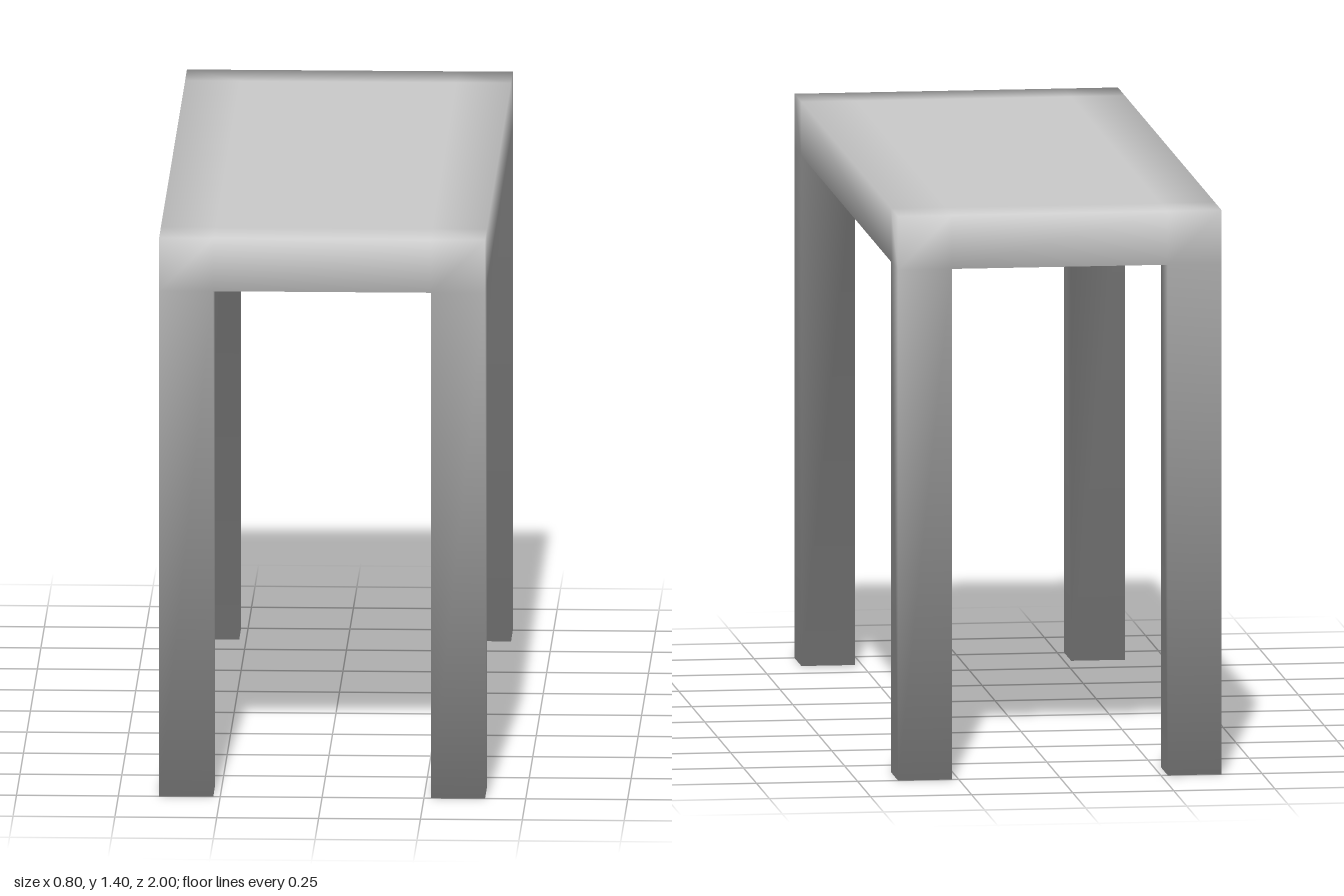
import * as THREE from 'three';

// Grid lines that divide the table into blocks along x, y and z
const T = 0.133;
const LINES = [
  [-0.4, -0.4 + T, 0.4 - T, 0.4],
  [0, 1.4 - T, 1.4],
  [-1, -1 + T, 1 - T, 1],
];

// Upper layer is the full slab, lower layer only has the four corner legs
function filled([i, j, k]) {
  if (i < 0 || i > 2 || k < 0 || k > 2) return false;
  return j === 1 || (j === 0 && i !== 1 && k !== 1);
}

// Outward quads of one block, leaving out those hidden by a neighbour
function blockFaces(cell) {
  const faces = [];
  for (let axis = 0; axis < 3; axis++) {
    for (const side of [1, -1]) {
      const next = [...cell];
      next[axis] += side;
      if (filled(next)) continue;
      const u = (axis + 1) % 3, v = (axis + 2) % 3;
      const corners = [[0, 0], [1, 0], [1, 1], [0, 1]].map(([a, b]) => {
        const p = [...cell];
        p[axis] += side > 0 ? 1 : 0;
        p[u] += a;
        p[v] += b;
        return p;
      });
      if (side < 0) corners.reverse();
      const normal = new THREE.Vector3().setComponent(axis, side);
      faces.push({ corners, normal });
    }
  }
  return faces;
}

export function createModel() {
  const group = new THREE.Group();
  group.name = 'table';
  const material = new THREE.MeshStandardMaterial({ color: 0xcccccc });

  // Collect the faces of each part
  const parts = { tableTop: [] };
  for (let i = 0; i < 3; i++) {
    for (let k = 0; k < 3; k++) {
      parts.tableTop.push(...blockFaces([i, 1, k]));
      if (filled([i, 0, k])) {
        const name = (k ? 'front' : 'back') + (i ? 'Left' : 'Right') + 'Leg';
        parts[name] = blockFaces([i, 0, k]);
      }
    }
  }

  // Smooth normals shared across all parts, so the joints blend softly
  const normals = {};
  for (const { corners, normal } of Object.values(parts).flat()) {
    for (const c of corners) (normals[c] ??= new THREE.Vector3()).add(normal);
  }
  for (const n of Object.values(normals)) n.normalize();

  for (const [name, faces] of Object.entries(parts)) {
    const position = [], normal = [], index = [];
    for (const { corners } of faces) {
      const s = position.length / 3;
      for (const c of corners) {
        position.push(...c.map((line, axis) => LINES[axis][line]));
        normal.push(...normals[c].toArray());
      }
      index.push(s, s + 1, s + 2, s, s + 2, s + 3);
    }
    const geometry = new THREE.BufferGeometry();
    geometry.setAttribute('position', new THREE.Float32BufferAttribute(position, 3));
    geometry.setAttribute('normal', new THREE.Float32BufferAttribute(normal, 3));
    geometry.setIndex(index);
    const mesh = new THREE.Mesh(geometry, material);
    mesh.name = name;
    group.add(mesh);
  }
  return group;
}
